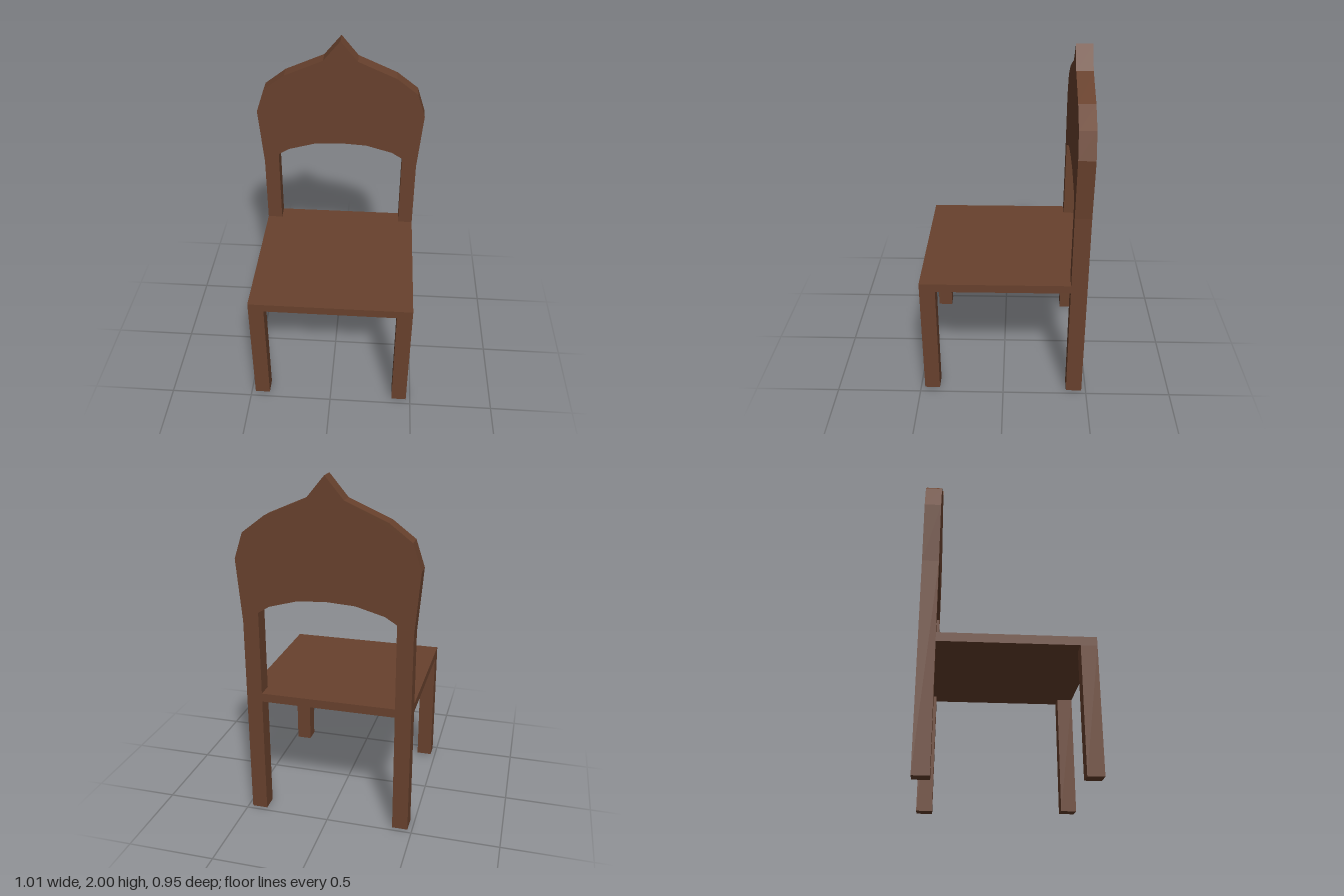
import * as THREE from 'three';

export function createModel() {
  const group = new THREE.Group();
  group.name = 'chair';
  const wood = new THREE.MeshStandardMaterial({ color: 0x68412d, flatShading: true });
  wood.name = 'brown wood';

  const OUT = 0.474, IN = 0.384;   // outer and inner faces of the legs
  const SEAT_TOP = 0.76, SEAT_BOTTOM = 0.71;

  const add = (name, geometry) => {
    const mesh = new THREE.Mesh(geometry, wood);
    mesh.name = name;
    group.add(mesh);
    return mesh;
  };
  const extrude = (points, depth) => new THREE.ExtrudeGeometry(
    new THREE.Shape(points.map(([x, y]) => new THREE.Vector2(x, y))),
    { depth, bevelEnabled: false });
  // Completes a right-hand half outline with its mirror image
  const mirrored = (half) => [
    ...half,
    ...half.filter(([x]) => x !== 0).reverse().map(([x, y]) => [-x, y]),
  ];

  // Rear legs run up into the pointed, arched backrest as one board
  const outer = [[IN, 0], [OUT, 0], [OUT, 1.19], [0.503, 1.54], [0.455, 1.685],
    [0.33, 1.78], [0.1, 1.88], [0, 2]];
  const arch = [[0, 1.34], [0.16, 1.33], [0.32, 1.285], [IN, 1.245]];
  const outline = [
    ...mirrored(outer),
    ...arch.slice(1).reverse().map(([x, y]) => [-x, y]),
    ...arch,
  ];
  add('backrestAndRearLegs', extrude(outline, OUT - 0.381)).position.z = -OUT;

  // Seat panel, notched around the rear legs
  const seat = extrude(mirrored([[IN, OUT], [IN, 0.381], [OUT, 0.381], [OUT, -OUT]]).reverse(),
    SEAT_TOP - SEAT_BOTTOM);
  seat.rotateX(-Math.PI / 2);
  add('seat', seat).position.y = SEAT_BOTTOM;

  // Front legs
  const width = OUT - IN, height = SEAT_BOTTOM - 0.01;
  for (const side of [1, -1]) {
    const leg = add(side > 0 ? 'leftFrontLeg' : 'rightFrontLeg',
      new THREE.BoxGeometry(width, height, width));
    leg.position.set(side * (OUT + IN) / 2, 0.01 + height / 2, (OUT + IN) / 2);
  }
  return group;
}
